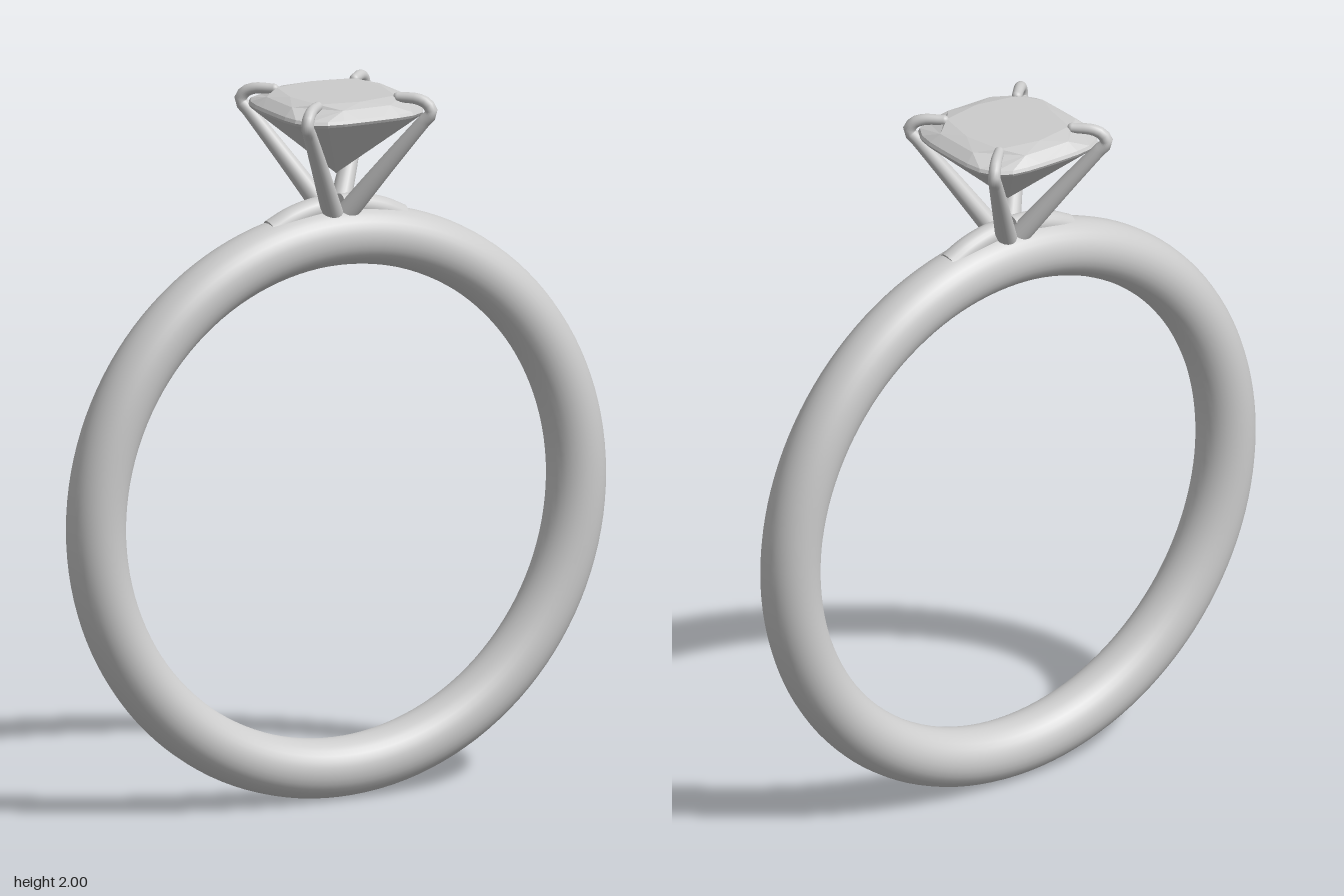
import * as THREE from 'three';

const metal = new THREE.MeshStandardMaterial({ color: 0xcccccc });
metal.name = 'pale grey';

function add(parent, name, geometry) {
  const mesh = new THREE.Mesh(geometry, metal);
  mesh.name = name;
  parent.add(mesh);
  return mesh;
}

// Capped, tapering rod bent along a curve in the xy plane
function bentRod(points, r0, r1, depth = 1) {
  const curve = new THREE.CatmullRomCurve3(points.map(([x, y]) => new THREE.Vector3(x, y, 0)));
  const geo = new THREE.CylinderGeometry(1, 1, 1, 20, 32);
  const pos = geo.attributes.position, nor = geo.attributes.normal;
  for (let i = 0; i < pos.count; i++) {
    const t = THREE.MathUtils.clamp(pos.getY(i) + 0.5, 0, 1);
    const r = THREE.MathUtils.lerp(r0, r1, t);
    const p = curve.getPointAt(t), d = curve.getTangentAt(t);
    const x = pos.getX(i) * r, z = pos.getZ(i) * r * depth;
    pos.setXYZ(i, p.x + d.y * x, p.y - d.x * x, z);
    const nx = nor.getX(i), ny = nor.getY(i);
    nor.setXYZ(i, d.y * nx + d.x * ny, -d.x * nx + d.y * ny, nor.getZ(i));
  }
  return geo;
}

// Cushion-cut stone: rings of cushion outline, merged into facets on the crown
function gemGeometry() {
  const n = 32;
  const outline = (i, scale) => {
    const a = (i / n) * Math.PI * 2, c = Math.cos(a), s = Math.sin(a);
    const r = 0.21 * scale / Math.pow(c ** 4 + s ** 4, 0.25);
    return [r * c, -r * s];
  };
  const every = (i) => i;
  const rings = [
    { y: 1.76, scale: 0, pick: every },
    { y: 1.94, scale: 0.98, pick: every },
    { y: 1.948, scale: 1, pick: every },
    { y: 1.957, scale: 0.98, pick: every },
    { y: 1.979, scale: 0.85, pick: (i) => Math.floor(i / 4) * 4 + 2 },
    { y: 1.99, scale: 0.68, pick: (i) => Math.round(i / 4) * 4 },
    { y: 1.99, scale: 0, pick: every },
  ];
  const point = (k, i) => {
    const { y, scale, pick } = rings[k];
    const [x, z] = outline(pick(i) % n, scale);
    return new THREE.Vector3(x, y, z);
  };
  const out = [];
  const tri = (a, b, c) => {
    const area = b.clone().sub(a).cross(c.clone().sub(a)).length();
    if (area > 1e-9) out.push(...a.toArray(), ...b.toArray(), ...c.toArray());
  };
  for (let k = 0; k < rings.length - 1; k++) {
    for (let i = 0; i < n; i++) {
      const a = point(k, i), b = point(k, i + 1), c = point(k + 1, i + 1), d = point(k + 1, i);
      tri(a, b, c);
      tri(a, c, d);
    }
  }
  const geo = new THREE.BufferGeometry();
  geo.setAttribute('position', new THREE.Float32BufferAttribute(out, 3));
  geo.computeVertexNormals();
  return geo;
}

export function createModel() {
  const ring = new THREE.Group();
  ring.name = 'ring';

  // Round band
  add(ring, 'band', new THREE.TorusGeometry(0.75, 0.083, 32, 128)).position.y = 0.835;

  // Stone
  add(ring, 'gem', gemGeometry());

  // Four claws, curling over the stone's corners
  const clawPath = [[0.03, 1.65], [0.14, 1.787], [0.25, 1.92], [0.274, 1.948],
    [0.263, 1.971], [0.235, 1.984], [0.178, 1.986]];
  const clawGeo = bentRod(clawPath, 0.03, 0.014);
  const tipGeo = new THREE.SphereGeometry(0.014, 16, 12);
  for (let k = 0; k < 4; k++) {
    const claw = new THREE.Group();
    claw.name = 'claw' + (k + 1);
    claw.rotation.y = Math.PI / 4 + k * Math.PI / 2;
    add(claw, 'clawArm', clawGeo);
    add(claw, 'clawTip', tipGeo).position.set(0.178, 1.986, 0);
    ring.add(claw);
  }

  // Low shoulders joining the claws to the band
  const shoulderGeo = bentRod([[0.01, 1.668], [0.07, 1.663], [0.14, 1.644], [0.2, 1.615]], 0.033, 0.036);
  for (const [name, turn] of [['leftShoulder', 0], ['rightShoulder', Math.PI]]) {
    add(ring, name, shoulderGeo).rotation.y = turn;
  }
  return ring;
}
